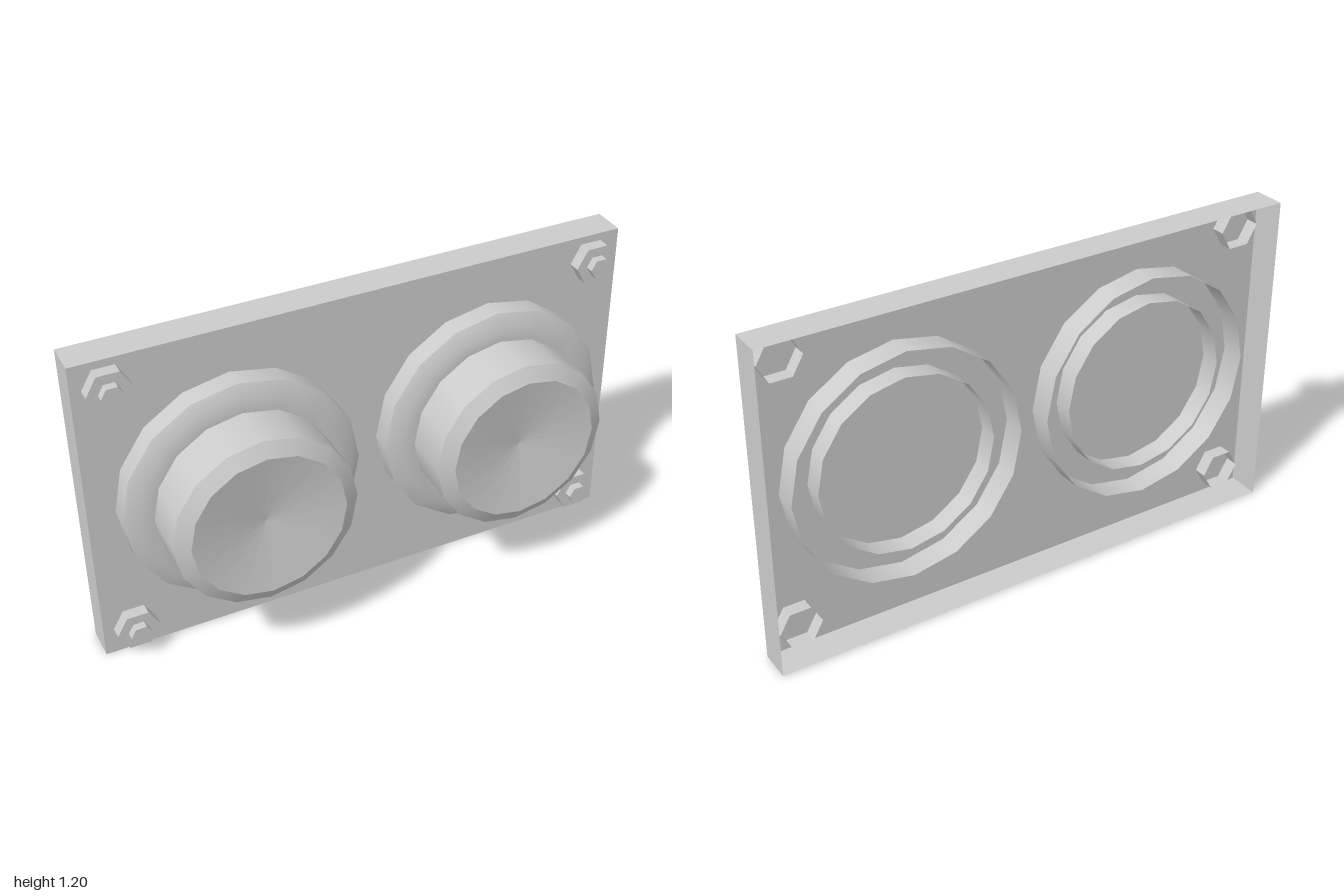
import * as THREE from 'three';

const smooth = new THREE.MeshStandardMaterial({ color: 0xcccccc, side: THREE.DoubleSide });
const flat = new THREE.MeshStandardMaterial({ color: 0xcccccc, side: THREE.DoubleSide, flatShading: true });

// Surface turned about the z axis from [radius, z] points
function turned(name, points, sides, material, phiStart = 0) {
  const profile = points.map(([r, z]) => new THREE.Vector2(r, z));
  const geometry = new THREE.LatheGeometry(profile, sides, phiStart);
  geometry.rotateX(Math.PI / 2);
  const mesh = new THREE.Mesh(geometry, material);
  mesh.name = name;
  return mesh;
}

// Round lamp: stepped collar and lens housing, both open at the back
function createLamp() {
  const lamp = new THREE.Group();
  lamp.name = 'lamp';
  const sides = 16;
  lamp.add(
    turned('collarWall', [[0.427, -0.18], [0.427, -0.015]], sides, smooth),
    turned('collarFace', [[0.427, -0.015], [0.378, 0.01], [0.327, 0.01]], sides, smooth),
    turned('housingWall', [[0.327, -0.165], [0.327, 0.18]], sides, smooth),
    turned('housingBevel', [[0.327, 0.18], [0.275, 0.21]], sides, smooth),
    turned('dishedLens', [[0.275, 0.21], [0, 0.17]], sides, smooth)
  );
  return lamp;
}

// Hexagonal nut with a smaller hexagonal bolt end
function createFastener() {
  const fastener = new THREE.Group();
  fastener.name = 'fastener';
  fastener.add(
    turned('nut', [[0.078, -0.14], [0.078, -0.045], [0, -0.045]], 6, flat, Math.PI / 2),
    turned('boltEnd', [[0.039, -0.045], [0.039, -0.015], [0, -0.015]], 6, flat, Math.PI / 2)
  );
  return fastener;
}

export function createModel() {
  const model = new THREE.Group();
  model.name = 'twinLampPanel';

  // Shallow tray: a box without its back face (the last six indices)
  const box = new THREE.BoxGeometry(2, 1.2, 0.12);
  box.setIndex(Array.from(box.index.array).slice(0, 30));
  box.clearGroups();
  const panel = new THREE.Mesh(box, flat);
  panel.name = 'panel';
  panel.position.set(0, 0.6, -0.15);
  model.add(panel);

  for (const side of [-1, 1]) {
    const lamp = createLamp();
    lamp.position.set(0.003 + side * 0.479, 0.607, 0);
    model.add(lamp);

    for (const y of [0.104, 1.104]) {
      const fastener = createFastener();
      fastener.position.set(0.003 + side * 0.887, y, 0);
      model.add(fastener);
    }
  }
  return model;
}
